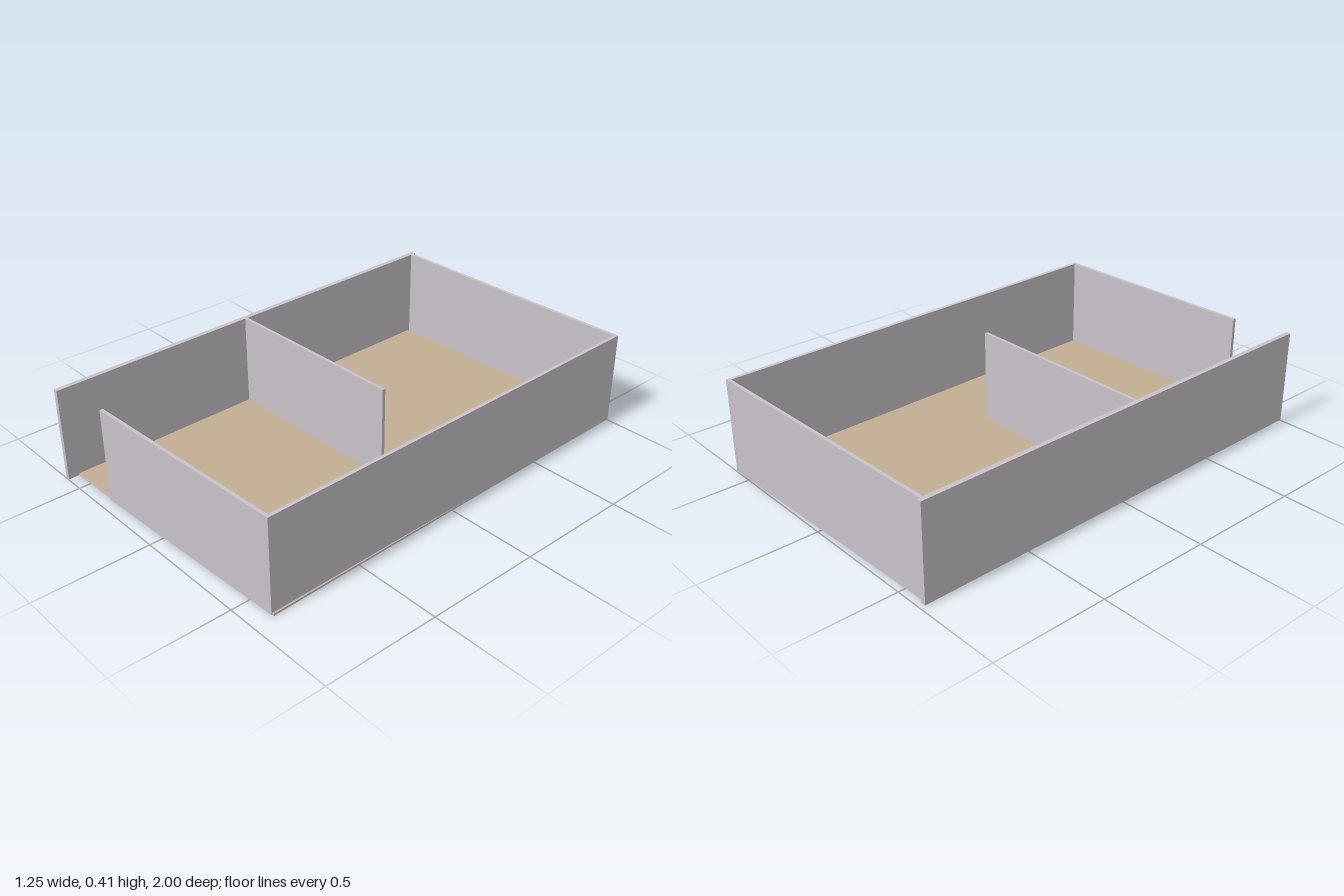
import * as THREE from 'three';

export function createModel() {
  const wall = new THREE.MeshStandardMaterial({ color: 0xc8c3c9 });
  wall.name = 'wallGrey';
  const tan = new THREE.MeshStandardMaterial({ color: 0xc3ae92 });
  tan.name = 'floorTan';
  const model = new THREE.Group();
  model.name = 'roomShell';

  // Plan outlines are [x, z] corners
  const plan = (pts) => new THREE.Shape(pts.map(([x, z]) => new THREE.Vector2(x, -z)));

  function slab(name, pts, y0, y1) {
    const geo = new THREE.ExtrudeGeometry(plan(pts), { depth: y1 - y0, bevelEnabled: false });
    geo.rotateX(-Math.PI / 2).translate(0, y0, 0);
    const mesh = new THREE.Mesh(geo, wall);
    mesh.name = name;
    model.add(mesh);
  }

  // Upright walls, slightly out of square
  const walls = {
    leftSideWall: [[-0.625, -0.98], [-0.603, -0.98], [-0.58, 1], [-0.6, 1]],
    backWall: [[-0.606, -0.968], [0.59, -1], [0.59, -0.985], [-0.606, -0.953]],
    rightSideWall: [[0.575, -1], [0.59, -1], [0.618, 0.914], [0.602, 0.914]],
    frontWall: [[-0.345, 0.938], [0.618, 0.899], [0.618, 0.914], [-0.345, 0.953]],
    partition: [[-0.592, 0.055], [0.26, 0.041], [0.26, 0.055], [-0.592, 0.069]],
  };
  for (const [name, pts] of Object.entries(walls)) slab(name, pts, 0.003, 0.415);

  // Floor slab with a tan top face
  const floor = [[-0.605, -0.943], [0.585, -0.993], [0.624, 0.909], [-0.582, 0.952]];
  slab('floorSlab', floor, 0, 0.009);
  const top = new THREE.Mesh(new THREE.ShapeGeometry(plan(floor)).rotateX(-Math.PI / 2), tan);
  top.position.y = 0.011;
  top.name = 'floorTop';
  model.add(top);

  return model;
}
